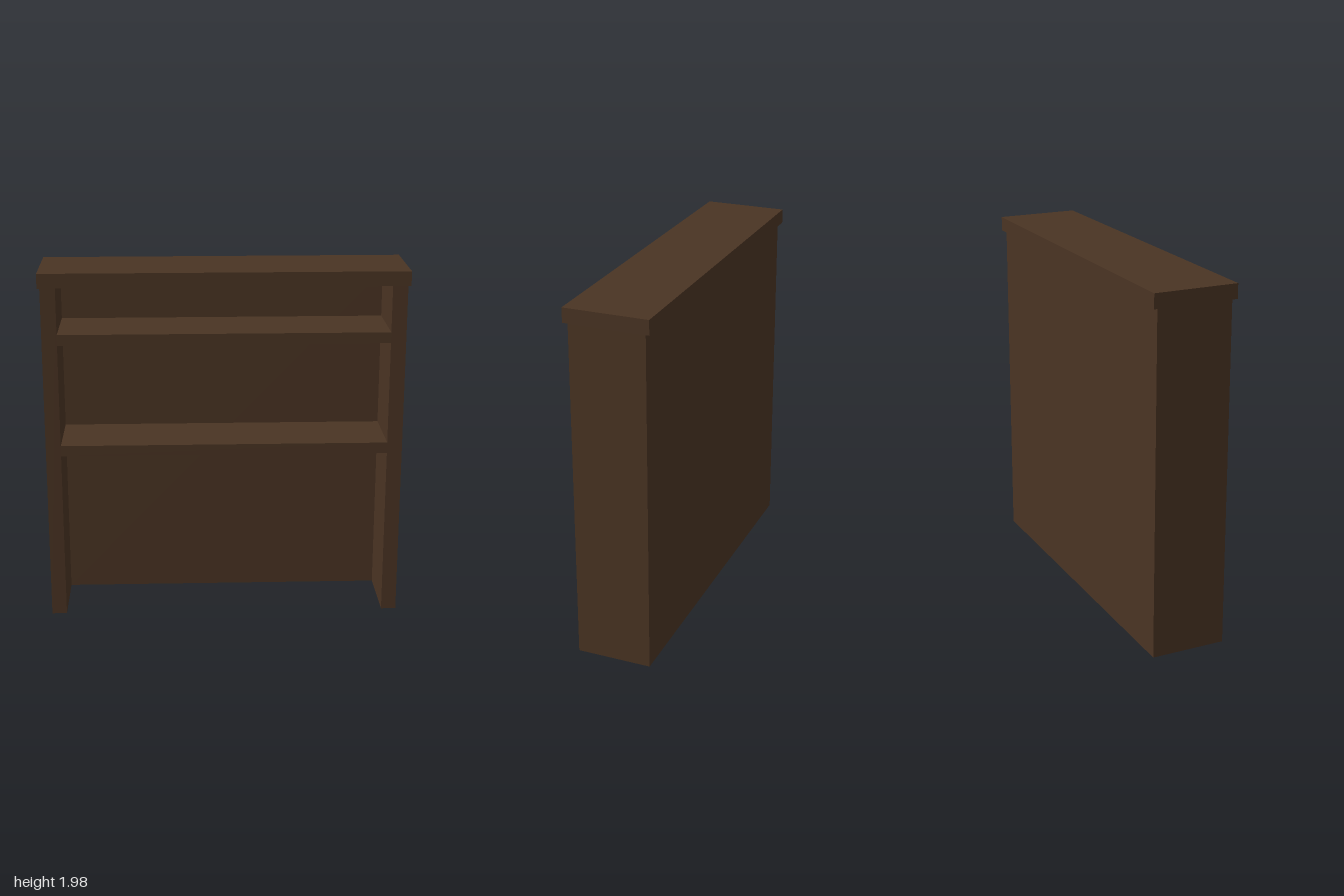
import * as THREE from 'three';

export function createModel() {
  const group = new THREE.Group();
  const darkWood = new THREE.MeshStandardMaterial({ color: 0x4a3423 });
  darkWood.name = 'darkWood';

  // Axis-aligned board given by its lower and upper corners
  function board(name, [x0, y0, z0], [x1, y1, z1]) {
    const mesh = new THREE.Mesh(new THREE.BoxGeometry(x1 - x0, y1 - y0, z1 - z0), darkWood);
    mesh.position.set((x0 + x1) / 2, (y0 + y1) / 2, (z0 + z1) / 2);
    mesh.name = name;
    group.add(mesh);
  }

  const outer = 0.988, inner = 0.905, depth = 0.208, height = 1.9;
  const panelFront = -depth + 0.022;

  // Overhanging top
  board('top', [-1, height, -0.232], [1, 1.98, 0.232]);

  // Uprights
  board('leftSide', [inner, 0, -depth], [outer, height, depth]);
  board('rightSide', [-outer, 0, -depth], [-inner, height, depth]);

  // Back panel between the uprights
  board('backPanel', [-inner, 0, -depth], [inner, height, panelFront]);

  // Shelves, flush with the front of the uprights
  board('lowerShelf', [-inner, 0.95, panelFront], [inner, 1.01, depth]);
  board('upperShelf', [-inner, 1.58, panelFront], [inner, 1.64, depth]);

  return group;
}
